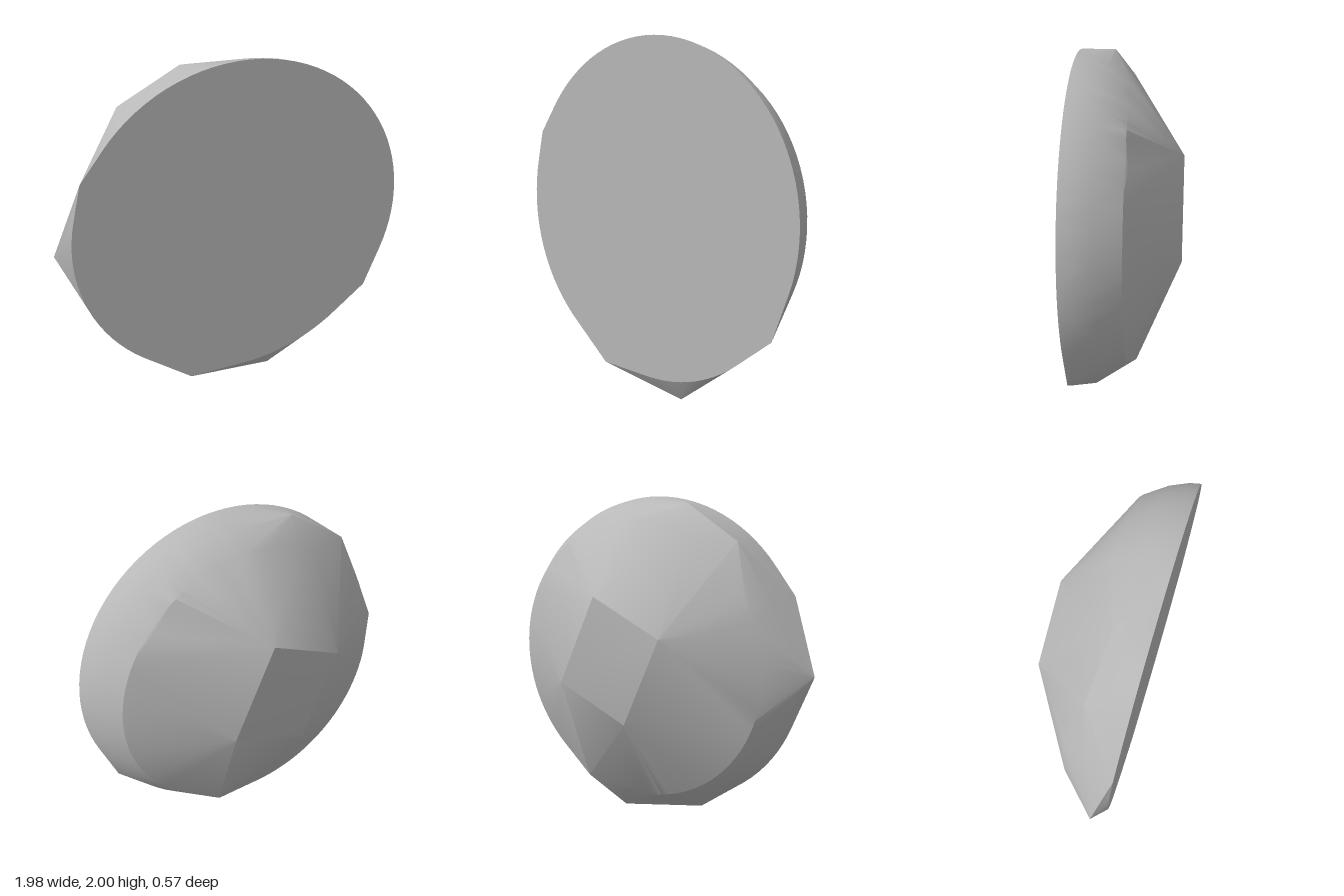
import * as THREE from 'three';
import { ConvexGeometry } from 'three/addons/geometries/ConvexGeometry.js';
import { toCreasedNormals } from 'three/addons/utils/BufferGeometryUtils.js';

export function createModel() {
  const group = new THREE.Group();
  group.name = 'cutStone';
  const grey = new THREE.MeshStandardMaterial({ color: 0xb8b8b8 });
  grey.name = 'stoneGrey';

  // Rounded girdle: circles of [z, radius] from the flat front towards the back
  const points = [];
  const segments = 96;
  for (const [z, radius] of [[0.283, 0.947], [0.22, 0.936], [0.12, 0.897], [0.0, 0.82]]) {
    for (let i = 0; i < segments; i++) {
      const a = (i / segments) * Math.PI * 2;
      points.push(new THREE.Vector3(0.038 + radius * Math.cos(a), 1.053 + radius * Math.sin(a), z));
    }
  }

  // Corners of the flat back
  const back = [[-0.32, 1.28], [0.1, 1.47], [0.345, 0.95], [-0.1, 0.77]];
  for (const [x, y] of back) points.push(new THREE.Vector3(x, y, -0.285));

  // Chipped corners standing out of the girdle
  const corners = [
    [-0.83, 1.48, 0.283], [-0.99, 1.07, 0.21], [-0.3, 0.105, 0.283],
    [0.235, 0, 0.215], [0.85, 0.5, 0.283], [-0.26, 1.96, 0.11],
    [-0.58, 1.77, 0.07], [0.34, 0.28, -0.04], [0.64, 1.59, -0.015],
  ];
  for (const c of corners) points.push(new THREE.Vector3(...c));

  // One convex body, smooth around the girdle and sharp at the facets
  const body = new THREE.Mesh(toCreasedNormals(new ConvexGeometry(points), 0.42), grey);
  body.name = 'stoneBody';
  group.add(body);
  return group;
}
